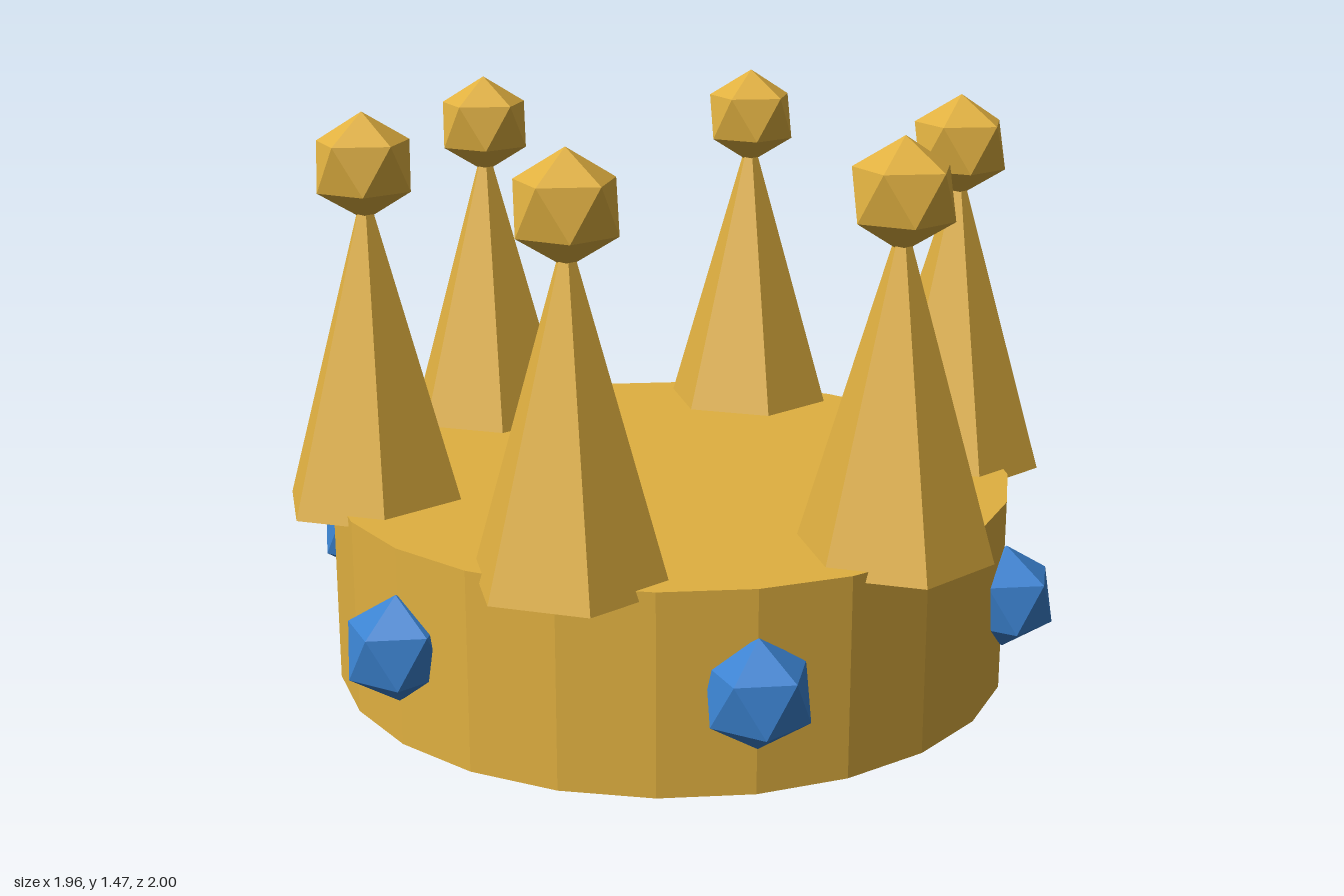
import * as THREE from 'three';

export function createModel() {
  const gold = new THREE.MeshStandardMaterial({ color: 0xe0b040, flatShading: true });
  gold.name = 'gold';
  const blue = new THREE.MeshStandardMaterial({ color: 0x3b82d0, flatShading: true });
  blue.name = 'gem blue';

  const crown = new THREE.Group();
  crown.name = 'crown';

  const add = (name, geometry, material, x, y, z) => {
    const mesh = new THREE.Mesh(geometry, material);
    mesh.name = name;
    mesh.position.set(x, y, z);
    crown.add(mesh);
  };

  // Icosahedron tipped so that one corner points straight up
  const uprightIcosahedron = (radius) =>
    new THREE.IcosahedronGeometry(radius, 0).rotateZ(-Math.atan(2 / (1 + Math.sqrt(5))));

  // Solid band
  add('band', new THREE.CylinderGeometry(0.88, 0.88, 0.5, 24), gold, 0, 0.25, 0);

  const spike = new THREE.ConeGeometry(0.24, 0.82, 6);
  const ball = uprightIcosahedron(0.133);
  const gem = uprightIcosahedron(0.135);

  for (let i = 0; i < 6; i++) {
    // Spikes with a ball on each tip
    const a = (i * Math.PI) / 3;
    const x = 0.77 * Math.cos(a);
    const z = 0.77 * Math.sin(a);
    add('spike', spike, gold, x, 0.475 + 0.41, z);
    add('spikeBall', ball, gold, x, 1.333, z);

    // Gems set in the band between the spikes
    const b = a + Math.PI / 6;
    add('gem', gem, blue, 0.885 * Math.cos(b), 0.25, 0.885 * Math.sin(b));
  }
  return crown;
}
